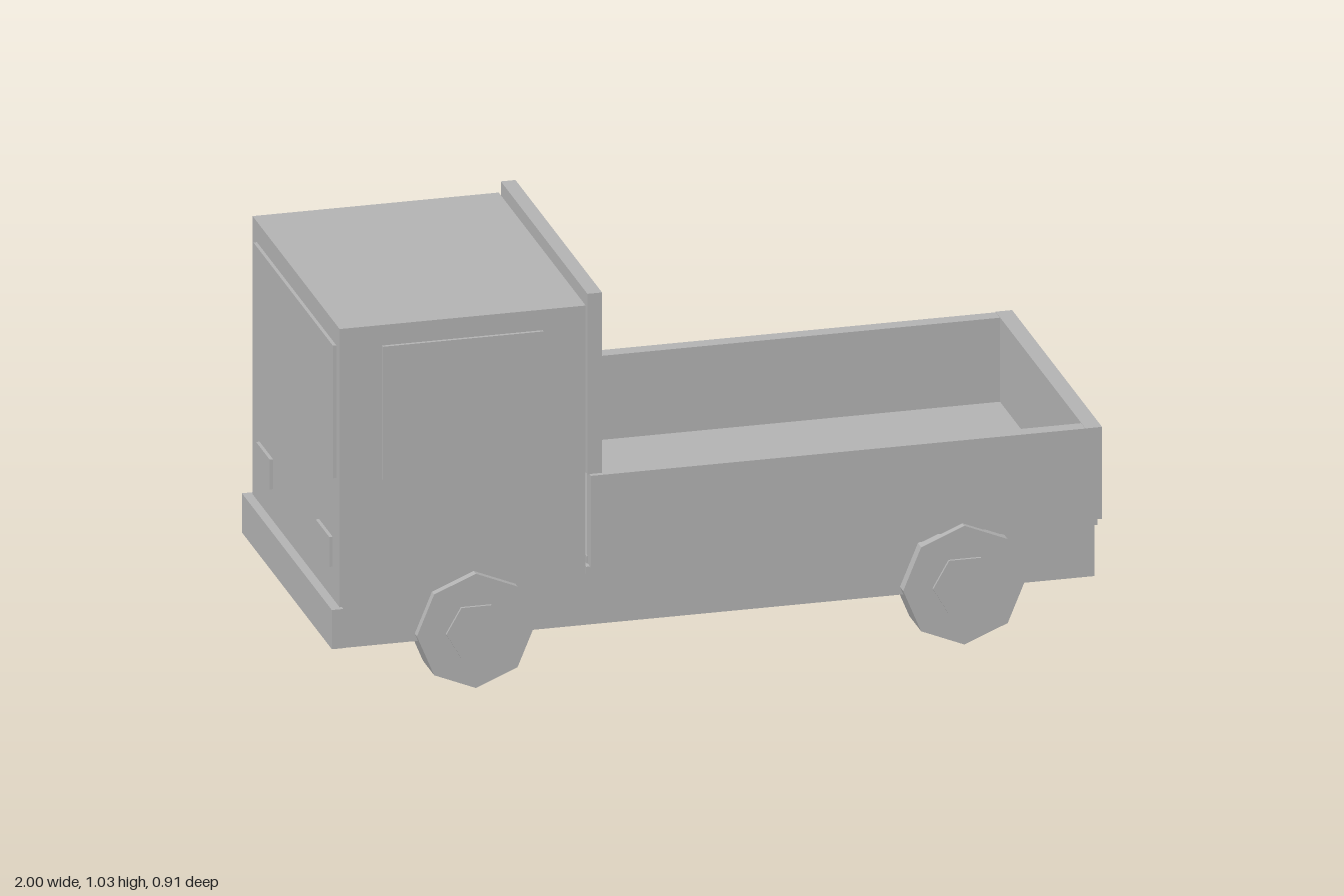
import * as THREE from 'three';

export function createModel() {
  const truck = new THREE.Group();
  truck.name = 'flatbedTruck';
  const grey = new THREE.MeshStandardMaterial({ color: 0xb2b2b2, flatShading: true });
  grey.name = 'plain grey';

  const add = (name, geometry, parent = truck) => {
    const mesh = new THREE.Mesh(geometry, grey);
    mesh.name = name;
    parent.add(mesh);
    return mesh;
  };
  // Box given by its limits on each axis
  const box = (name, [x0, x1], [y0, y1], [z0, z1]) =>
    add(name, new THREE.BoxGeometry(x1 - x0, y1 - y0, z1 - z0))
      .position.set((x0 + x1) / 2, (y0 + y1) / 2, (z0 + z1) / 2);

  // Cab and chassis
  box('cab', [-0.976, -0.337], [0.145, 1.0], [-0.416, 0.416]);
  box('chassis', [-0.337, 0.984], [0.145, 0.283], [-0.416, 0.416]);
  box('bumper', [-1.0, -0.97], [0.15, 0.255], [-0.43, 0.43]);
  box('windshield', [-0.985, -0.976], [0.59, 0.945], [-0.375, 0.385]);

  // Cargo bed, open towards the cab
  box('bedFloor', [-0.337, 0.99], [0.283, 0.302], [-0.421, 0.421]);
  box('bedDeck', [-0.33, 0.96], [0.302, 0.322], [-0.4, 0.4]);
  box('tailgate', [0.957, 1.0], [0.302, 0.548], [-0.43, 0.43]);
  box('headboard', [-0.332, -0.294], [0.546, 1.03], [-0.414, 0.414]);

  // Mirrored plates and bed sides
  for (const s of [1, -1]) {
    const span = (a, b) => (s > 0 ? [a, b] : [-b, -a]);
    box('bedSide', [-0.327, 0.957], [0.302, 0.547], span(0.388, 0.428));
    box('sideWindow', [-0.866, -0.449], [0.587, 0.945], span(0.416, 0.425));
    box('headlight', [-0.985, -0.976], [0.34, 0.42], span(0.22, 0.35));
  }

  // Eight-sided wheels with six-sided hubs
  const disc = (name, sides, radius, [z0, z1], turn, parent) => {
    const g = new THREE.CylinderGeometry(radius, radius, z1 - z0, sides);
    g.rotateX(Math.PI / 2).rotateZ(turn).translate(0, 0, (z0 + z1) / 2);
    add(name, g, parent);
  };
  const wheels = [
    ['frontLeftSideWheel', -0.628, 0.165, 0.153, [0.33, 0.437], 0.078, [0.323, 0.444]],
    ['rearLeftSideWheel', 0.638, 0.166, 0.159, [0.334, 0.447], 0.083, [0.325, 0.454]],
    ['frontRightSideWheel', -0.626, 0.164, 0.164, [-0.454, -0.335], 0.08, [-0.445, -0.327]],
    ['rearRightSideWheel', 0.64, 0.165, 0.157, [-0.447, -0.331], 0.083, [-0.453, -0.328]],
  ];
  for (const [name, x, y, radius, tyreZ, hubRadius, hubZ] of wheels) {
    const wheel = new THREE.Group();
    wheel.name = name;
    wheel.position.set(x, y, 0);
    disc('tyre', 8, radius, tyreZ, 0, wheel);
    disc('hub', 6, hubRadius, hubZ, Math.PI / 2, wheel);
    truck.add(wheel);
  }
  return truck;
}
